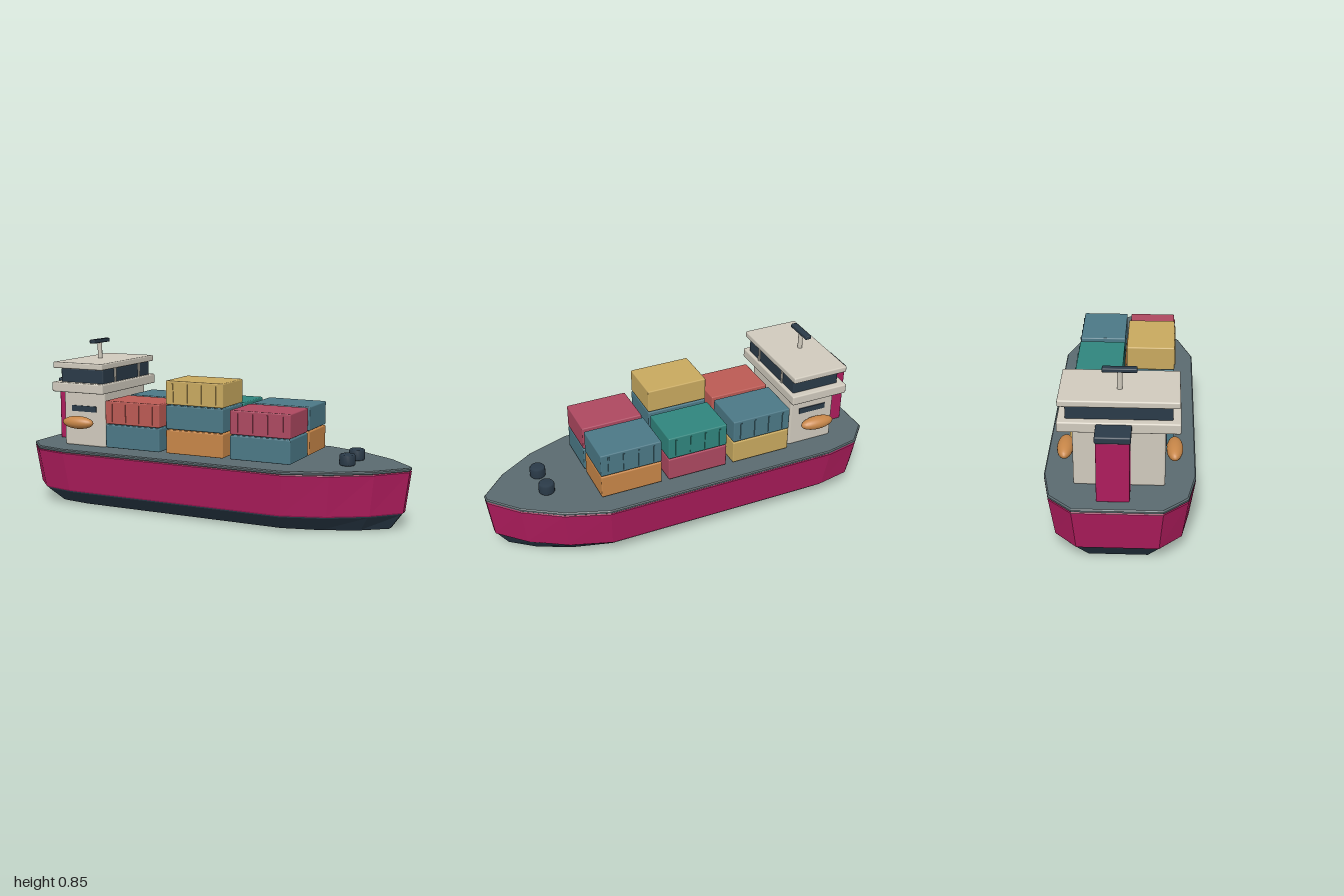
import * as THREE from 'three';
import { RoundedBoxGeometry } from 'three/addons/geometries/RoundedBoxGeometry.js';

const mat = (name, color) => {
  const m = new THREE.MeshStandardMaterial({ color });
  m.name = name;
  return m;
};

// Plan outline of the hull: stern to bow on the left side, then mirrored back
const side = [[-1, 0.2], [-0.9, 0.31], [-0.73, 0.345], [0.48, 0.345], [0.69, 0.27], [0.87, 0.155], [1, 0.018]];
const outline = [...side, ...side.slice().reverse().map(([x, z]) => [x, -z])];

// Stacks scaled copies of the outline; each ring is [y, scaleX, scaleZ]
function loft(rings) {
  const pos = [];
  const n = outline.length;
  const point = ([y, sx, sz], i) => [outline[i % n][0] * sx, y, outline[i % n][1] * sz];
  const low = rings[0], high = rings[rings.length - 1];
  for (let i = 0; i < n; i++) {
    for (let r = 0; r < rings.length - 1; r++) {
      const a = point(rings[r], i), b = point(rings[r], i + 1);
      const c = point(rings[r + 1], i + 1), d = point(rings[r + 1], i);
      pos.push(...a, ...b, ...c, ...a, ...c, ...d);
    }
    pos.push(0, high[0], 0, ...point(high, i), ...point(high, i + 1));
    pos.push(0, low[0], 0, ...point(low, i + 1), ...point(low, i));
  }
  const g = new THREE.BufferGeometry();
  g.setAttribute('position', new THREE.Float32BufferAttribute(pos, 3));
  g.computeVertexNormals();
  return g;
}

export function createModel() {
  const crimson = mat('crimson', 0xad1c5c);
  const navy = mat('navy', 0x2a3a48);
  const grey = mat('deck grey', 0x5a6a6f);
  const cream = mat('cream', 0xd0cabd);
  const blue = mat('steel blue', 0x4b7886);
  const coral = mat('coral', 0xbb5a54);
  const yellow = mat('mustard', 0xc8a95f);
  const rose = mat('rose', 0xad4860);
  const teal = mat('teal', 0x30857d);
  const orange = mat('orange', 0xc78648);

  const ship = new THREE.Group();
  ship.name = 'cargoShip';
  const add = (parent, name, geometry, material, x = 0, y = 0, z = 0) => {
    const m = new THREE.Mesh(geometry, material);
    m.name = name;
    m.position.set(x, y, z);
    parent.add(m);
    return m;
  };
  // Softly rounded box given by its extents
  const block = (parent, name, material, [x0, x1], [y0, y1], [z0, z1], r = 0.007) =>
    add(parent, name, new RoundedBoxGeometry(x1 - x0, y1 - y0, z1 - z0, 2, r), material,
      (x0 + x1) / 2, (y0 + y1) / 2, (z0 + z1) / 2);

  // Hull and deck
  add(ship, 'lowerHull', loft([[0, 0.905, 0.65], [0.004, 0.912, 0.67], [0.075, 0.962, 0.893], [0.085, 0.967, 0.9]]), navy);
  add(ship, 'upperHull', loft([[0.082, 0.97, 0.91], [0.088, 0.974, 0.918], [0.284, 0.999, 0.999], [0.29, 0.994, 0.99]]), crimson);
  add(ship, 'deck', loft([[0.288, 0.994, 0.99], [0.292, 1, 1], [0.3, 1, 1], [0.305, 0.994, 0.985]]), grey);

  // Container stacks, listed from the bottom up
  const stacks = [
    [-0.375, 1, [blue, coral]], [-0.023, 1, [orange, blue, yellow]], [0.328, 1, [blue, rose]],
    [-0.375, -1, [yellow, blue]], [-0.023, -1, [rose, teal]], [0.328, -1, [orange, blue]],
  ];
  for (const [x, s, colours] of stacks) {
    const stack = new THREE.Group();
    stack.name = 'containerStack';
    ship.add(stack);
    colours.forEach((colour, tier) => {
      const y = 0.374 + tier * 0.123;
      add(stack, 'container', new RoundedBoxGeometry(0.314, 0.119, 0.231, 2, 0.006), colour, x, y, s * 0.126);
    });
    // Ribs on the outer face of the top container
    const top = colours.length - 1;
    for (let i = 0; i < 4; i++) {
      add(stack, 'containerRib', new THREE.BoxGeometry(0.008, 0.092, 0.008), colours[top],
        x + (i - 1.5) * 0.078, 0.374 + top * 0.123, s * 0.2425);
    }
  }

  // Deckhouse and bridge
  const house = new THREE.Group();
  house.name = 'deckhouse';
  ship.add(house);
  block(house, 'houseBlock', cream, [-0.805, -0.558], [0.303, 0.6], [-0.205, 0.205], 0.01);
  block(house, 'bridgeBalcony', cream, [-0.835, -0.528], [0.59, 0.64], [-0.27, 0.27]);
  block(house, 'bridgeWindows', navy, [-0.8, -0.545], [0.636, 0.712], [-0.235, 0.235]);
  block(house, 'bridgeRoof', cream, [-0.83, -0.533], [0.712, 0.744], [-0.265, 0.265]);
  for (const s of [1, -1]) {
    block(house, 'windowPillar', cream, [-0.552, -0.539], [0.636, 0.714], [s * 0.12 - 0.007, s * 0.12 + 0.007], 0.002);
    add(house, 'sideWindow', new THREE.BoxGeometry(0.148, 0.03, 0.008), navy, -0.682, 0.5, s * 0.206);
    const boat = add(house, 'lifeboat', new THREE.SphereGeometry(1, 24, 16), orange, -0.695, 0.433, s * 0.246);
    boat.scale.set(0.09, 0.033, 0.037);
  }

  // Radar mast
  add(house, 'mast', new THREE.CylinderGeometry(0.012, 0.012, 0.09, 14), cream, -0.71, 0.785, 0);
  block(house, 'radarBar', navy, [-0.726, -0.694], [0.827, 0.847], [-0.077, 0.077], 0.005);

  // Funnel behind the deckhouse
  block(ship, 'funnel', crimson, [-0.938, -0.825], [0.303, 0.604], [-0.095, 0.052]);
  block(ship, 'funnelCap', navy, [-0.942, -0.821], [0.6, 0.633], [-0.1, 0.057]);

  // Bow bollards with softened rims
  const profile = [[0, 0], [0.034, 0], [0.039, 0.006], [0.039, 0.047], [0.034, 0.054], [0, 0.054]];
  for (const s of [1, -1]) {
    add(ship, 'bollard', new THREE.LatheGeometry(profile.map(p => new THREE.Vector2(...p)), 18), navy, 0.71, 0.304, s * 0.072);
  }
  return ship;
}
